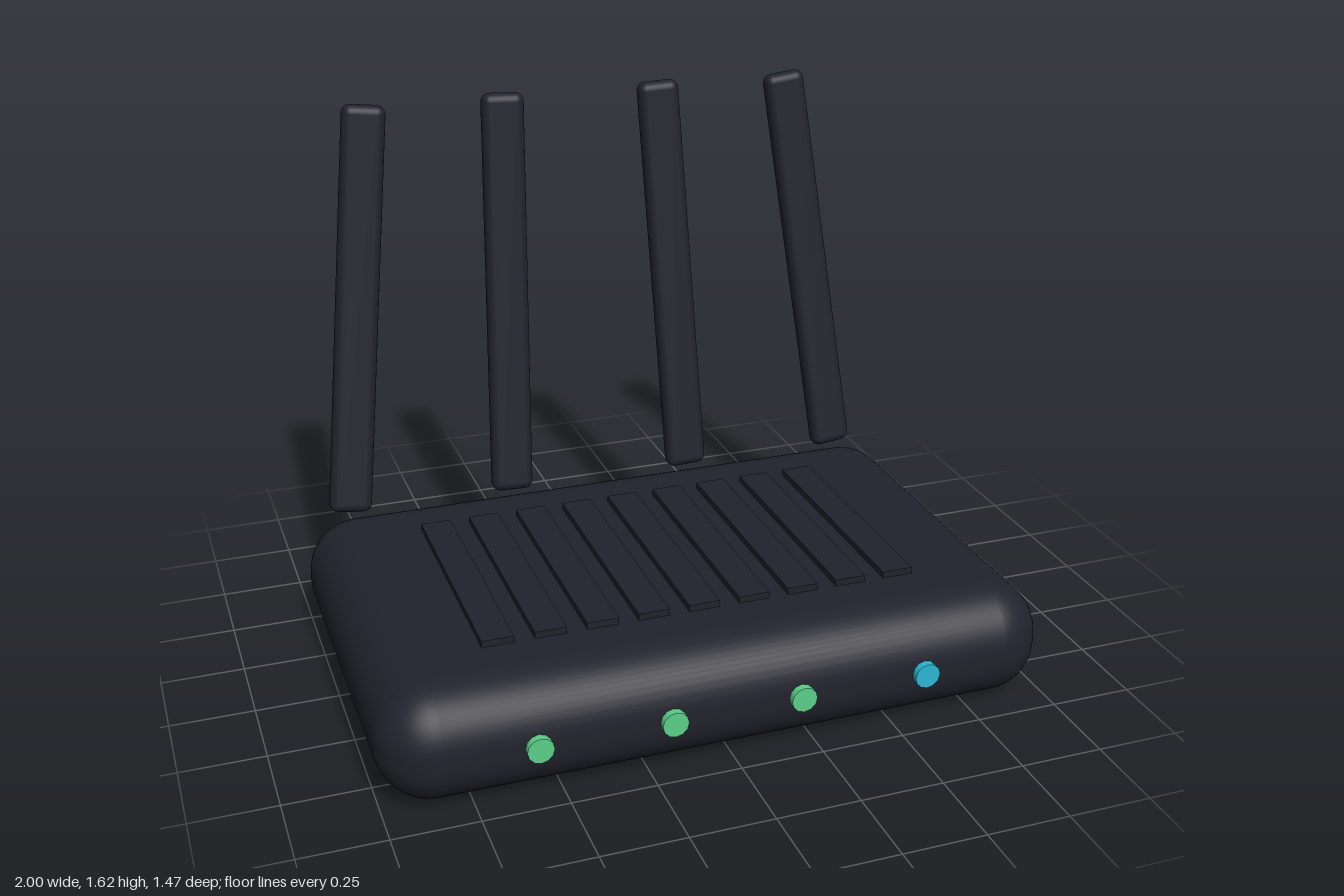
import * as THREE from 'three';
import { RoundedBoxGeometry } from 'three/addons/geometries/RoundedBoxGeometry.js';

function material(name, color) {
  const m = new THREE.MeshStandardMaterial({ color });
  m.name = name;
  return m;
}

export function createModel() {
  const casing = material('dark casing', 0x22222d);
  const green = material('green light', 0x5ccf8a);
  const blue = material('blue light', 0x2bb8d4);
  const model = new THREE.Group();
  model.name = 'router';

  const add = (name, geometry, mat, x, y, z) => {
    const mesh = new THREE.Mesh(geometry, mat);
    mesh.name = name;
    mesh.position.set(x, y, z);
    model.add(mesh);
    return mesh;
  };

  // Rounded body
  add('body', new RoundedBoxGeometry(2, 0.347, 1.308, 6, 0.16), casing, 0, 0.1735, 0.062);

  // Raised vent slats on the lid
  const slat = new THREE.BoxGeometry(0.094, 0.04, 0.765);
  for (let i = -4; i <= 4; i++) add('ventSlat', slat, casing, i * 0.1535, 0.347, 0.062);

  // Status lights on the front, the last one blue
  const light = new THREE.CylinderGeometry(0.0385, 0.0385, 0.04, 12).rotateX(Math.PI / 2);
  for (let i = 0; i < 4; i++) {
    add('statusLight', light, i === 3 ? blue : green, -0.577 + i * 0.3847, 0.175, 0.717);
  }

  // Antennas lean backwards and inwards, the outer pair more strongly
  const antenna = new RoundedBoxGeometry(0.135, 1.3, 0.066, 4, 0.028);
  for (const side of [-1, 1]) {
    for (const [name, x, lean] of [['outerAntenna', 0.768, 0.118], ['innerAntenna', 0.281, 0.038]]) {
      add(name, antenna, casing, side * x, 0.976, -0.629).rotation.set(-0.12, 0, side * lean);
    }
  }
  return model;
}
